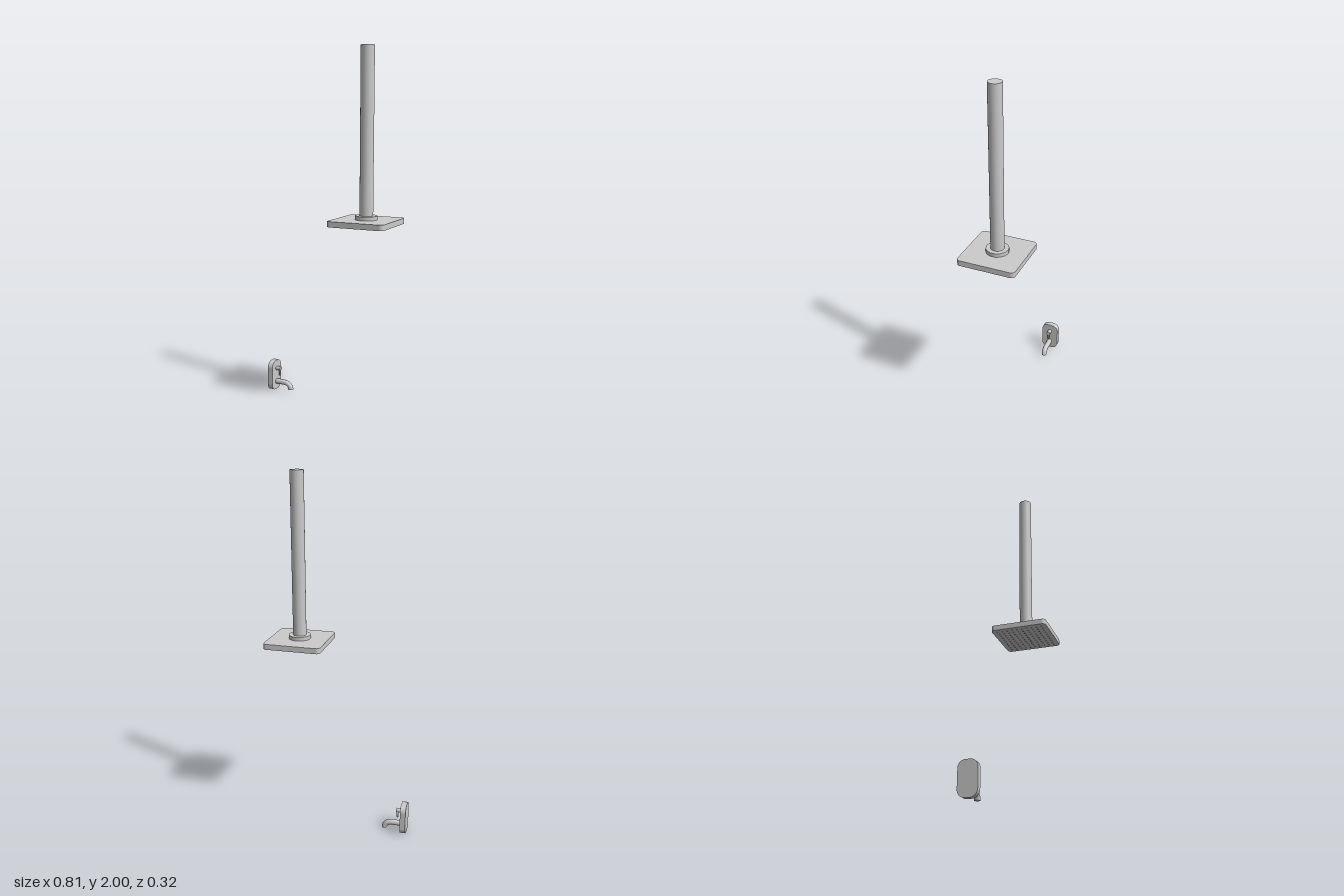
import * as THREE from 'three';

const material = new THREE.MeshStandardMaterial({ color: 0xcccccc });

function add(parent, name, geometry, x = 0, y = 0, z = 0) {
  const mesh = new THREE.Mesh(geometry, material);
  mesh.name = name;
  mesh.position.set(x, y, z);
  parent.add(mesh);
  return mesh;
}

// Flat slab with rounded corners, centred, thickness along +z
function roundedSlab(w, h, r, depth) {
  const a = w / 2, b = h / 2;
  const s = new THREE.Shape();
  s.moveTo(-a + r, -b);
  s.absarc(a - r, -b + r, r, -Math.PI / 2, 0);
  s.absarc(a - r, b - r, r, 0, Math.PI / 2);
  s.absarc(-a + r, b - r, r, Math.PI / 2, Math.PI);
  s.absarc(-a + r, -b + r, r, Math.PI, Math.PI * 1.5);
  return new THREE.ExtrudeGeometry(s, { depth, bevelEnabled: false, curveSegments: 8 });
}

function createShower() {
  const shower = new THREE.Group();
  shower.name = 'overheadShower';
  shower.position.set(0.243, 0, 0);

  // Square spray head
  add(shower, 'showerHead', roundedSlab(0.324, 0.324, 0.022, 0.031).rotateX(-Math.PI / 2), 0, 1.055, 0);

  // Collar and ceiling pipe
  add(shower, 'collar', new THREE.CylinderGeometry(0.062, 0.062, 0.022, 14), 0, 1.096, 0);
  add(shower, 'ceilingPipe', new THREE.CylinderGeometry(0.037, 0.037, 0.9, 20), 0, 1.55, 0);

  // Grid of spray nozzles under the head
  const count = 10, pitch = 0.029;
  const nozzle = new THREE.CylinderGeometry(0.004, 0.003, 0.004, 8);
  const nozzles = new THREE.Group();
  nozzles.name = 'nozzles';
  for (let i = 0; i < count; i++) {
    for (let j = 0; j < count; j++) {
      add(nozzles, 'nozzle', nozzle, (i - (count - 1) / 2) * pitch, 1.054, (j - (count - 1) / 2) * pitch);
    }
  }
  shower.add(nozzles);
  return shower;
}

function createTap() {
  const tap = new THREE.Group();
  tap.name = 'wallTap';
  tap.position.set(-0.406, 0, -0.082);

  // Wall plate, facing +x
  add(tap, 'wallPlate', roundedSlab(0.103, 0.178, 0.04, 0.031).rotateY(Math.PI / 2), 0, 0.09, 0);

  // Spout: straight run, then a downward bend
  const r = 0.0155;
  const path = new THREE.CurvePath();
  const start = new THREE.Vector3(0.025, 0.049, 0);
  const bend = new THREE.Vector3(0.08, 0.049, 0);
  const end = new THREE.Vector3(0.128, 0.012, 0);
  path.add(new THREE.LineCurve3(start, bend));
  path.add(new THREE.CubicBezierCurve3(bend, new THREE.Vector3(0.108, 0.049, 0), new THREE.Vector3(0.128, 0.036, 0), end));
  add(tap, 'spout', new THREE.TubeGeometry(path, 24, r, 16));
  add(tap, 'spoutOutlet', new THREE.CircleGeometry(r, 16).rotateX(Math.PI / 2), end.x, end.y, 0);

  // Control knob with a hanging lever
  add(tap, 'knob', new THREE.CylinderGeometry(0.012, 0.012, 0.034, 16).rotateZ(Math.PI / 2), 0.044, 0.131, 0);
  add(tap, 'lever', new THREE.CylinderGeometry(0.007, 0.005, 0.043, 10), 0.054, 0.108, 0);
  return tap;
}

export function createModel() {
  const model = new THREE.Group();
  model.name = 'showerSet';
  model.add(createShower(), createTap());
  return model;
}
